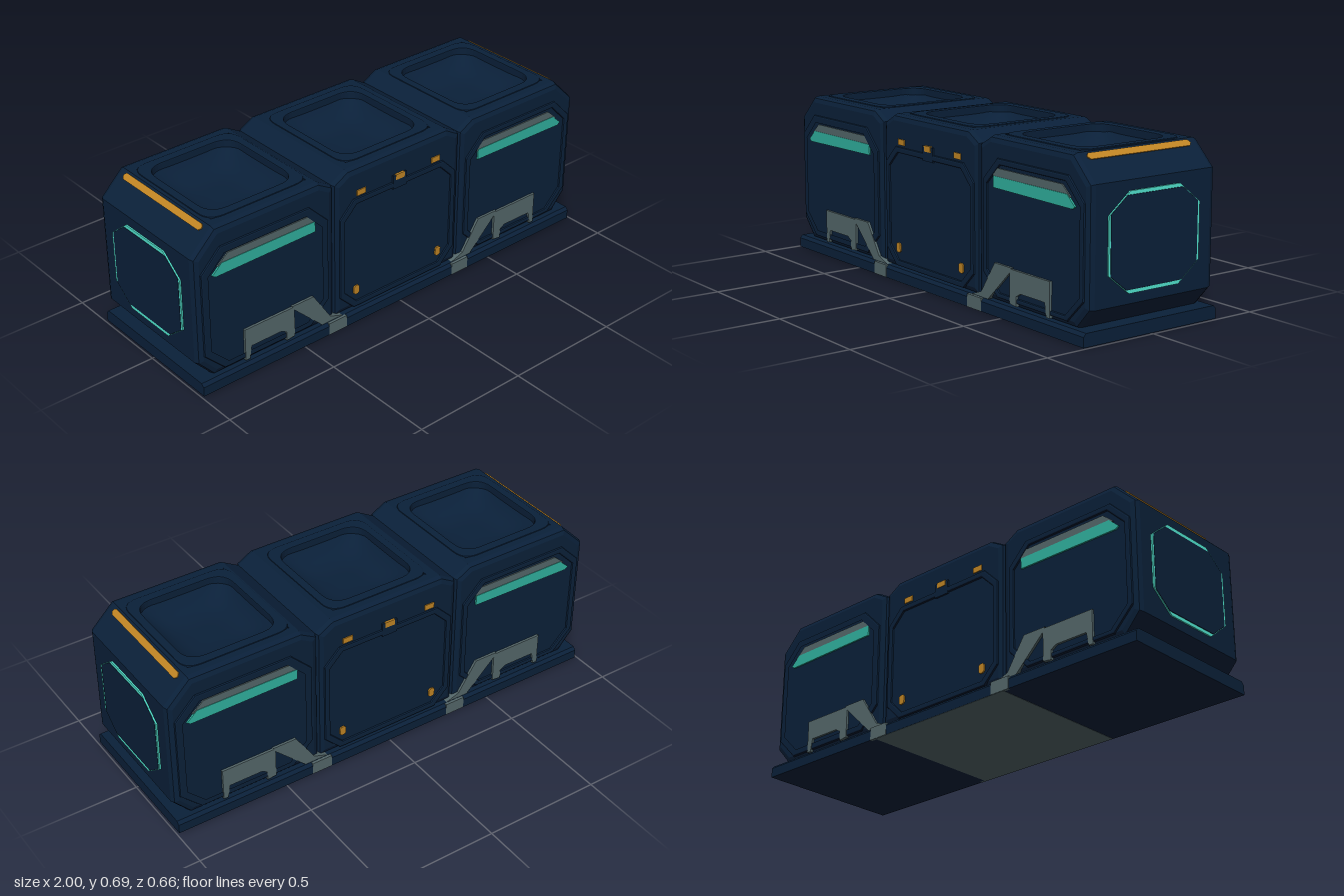
import * as THREE from 'three';

const mat = (name, color) => {
  const m = new THREE.MeshStandardMaterial({ color });
  m.name = name;
  return m;
};

const shapeOf = (pts) => new THREE.Shape(pts.map(([x, y]) => new THREE.Vector2(x, y)));

// Rectangle with cut corners, as points
const octagon = (x0, x1, y0, y1, cx, cy = cx) => [
  [x0 + cx, y0], [x1 - cx, y0], [x1, y0 + cy], [x1, y1 - cy],
  [x1 - cx, y1], [x0 + cx, y1], [x0, y1 - cy], [x0, y0 + cy],
];

// Extrudes a shape from z0 to z1, with an optional bevel kept inside the outline
function slab(shape, z0, z1, bevel = 0) {
  const g = new THREE.ExtrudeGeometry(shape, {
    depth: z1 - z0 - 2 * bevel, bevelEnabled: bevel > 0, bevelThickness: bevel,
    bevelSize: bevel, bevelOffset: -bevel, bevelSegments: 2, curveSegments: 8,
  });
  return g.translate(0, 0, z0 + bevel);
}

function ringShape(outer, inner) {
  const s = shapeOf(outer);
  s.holes.push(shapeOf(inner));
  return s;
}

function roundedRect(path, w, h, r) {
  path.moveTo(-w + r, -h);
  path.lineTo(w - r, -h).quadraticCurveTo(w, -h, w, -h + r);
  path.lineTo(w, h - r).quadraticCurveTo(w, h, w - r, h);
  path.lineTo(-w + r, h).quadraticCurveTo(-w, h, -w, h - r);
  path.lineTo(-w, -h + r).quadraticCurveTo(-w, -h, -w + r, -h);
  return path;
}

export function createModel() {
  const root = new THREE.Group();
  root.name = 'cargoContainer';
  const navy = mat('navy hull', 0x0a2039);
  const grey = mat('grey metal', 0x54676a);
  const teal = mat('bright teal trim', 0x56f0da);
  const deepTeal = mat('teal light strip', 0x30b29f);
  const amber = mat('amber marker', 0xc28624);

  const add = (parent, name, geometry, material) => {
    const m = new THREE.Mesh(geometry, material);
    m.name = name;
    parent.add(m);
    return m;
  };
  const box = (w, h, d, x, y, z) => new THREE.BoxGeometry(w, h, d).translate(x, y, z);

  // Base skid with chamfered upper edges
  const skid = shapeOf([[-0.327, 0], [0.327, 0], [0.327, 0.04], [0.315, 0.053], [-0.315, 0.053], [-0.327, 0.04]]);
  add(root, 'baseSkid', slab(skid, -0.99, 0.99).rotateY(Math.PI / 2), navy);
  add(root, 'undersidePlate', box(0.7, 0.004, 0.652, 0, 0.001, 0), grey);

  // Fillers in the grooves between modules
  for (const s of [-1, 1]) add(root, 'grooveFiller', box(0.16, 0.6, 0.56, s * 0.33, 0.35, 0), navy);

  // Three hull modules; s is the side, 0 being the middle one
  for (const s of [-1, 0, 1]) {
    const cx = s * 0.64;
    const k = s || 1;
    const mx = ([x, y]) => [x * k, y];
    const c = Math.abs(cx);
    const lower = s
      ? [[0.33, 0.65], [0.33, 0.05], [0.92, 0.05], [0.992, 0.13], [0.992, 0.59], [0.89, 0.69]]
      : [[-0.26, 0.69], [-0.33, 0.65], [-0.33, 0.05], [0.33, 0.05], [0.33, 0.65], [0.26, 0.69]];
    const close = s ? [[0.4, 0.69]] : [];
    const notch = [[c + 0.22, 0.69], [c + 0.22, 0.58], [c - 0.22, 0.58], [c - 0.22, 0.69]];
    const module = new THREE.Group();
    module.name = s ? (s > 0 ? 'leftModule' : 'rightModule') : 'middleModule';
    root.add(module);

    add(module, 'hullCentre', slab(shapeOf([...lower, ...notch, ...close].map(mx)), -0.26, 0.26), navy);
    const cheek = shapeOf([...lower, ...close].map(mx));
    add(module, 'frontCheek', slab(cheek, 0.22, 0.304, 0.025), navy);
    add(module, 'backCheek', slab(cheek, -0.304, -0.22, 0.025), navy);

    // Roof rim around a dished well
    const rim = roundedRect(new THREE.Shape(), 0.235, 0.25, 0.07);
    rim.holes.push(roundedRect(new THREE.Path(), 0.2, 0.21, 0.08));
    add(module, 'roofRim', slab(rim, 0.62, 0.694, 0.004).rotateX(-Math.PI / 2).translate(cx, 0, 0), navy);
    const dish = new THREE.PlaneGeometry(0.43, 0.45, 20, 20).rotateX(-Math.PI / 2);
    const p = dish.attributes.position;
    for (let i = 0; i < p.count; i++) {
      const u = p.getX(i) / 0.215, v = p.getZ(i) / 0.225;
      p.setY(i, 0.684 - 0.09 * (1 - u ** 4) * (1 - v ** 4));
    }
    dish.computeVertexNormals();
    add(module, 'roofDish', dish.translate(cx, 0, 0), navy);
  }

  // Long sides: the back repeats the front, turned half round
  for (const back of [0, 1]) {
    const side = new THREE.Group();
    side.name = back ? 'backSide' : 'frontSide';
    side.rotation.y = back * Math.PI;
    root.add(side);

    const midFrame = ringShape(octagon(-0.305, 0.305, 0.06, 0.56, 0.07), octagon(-0.28, 0.28, 0.085, 0.535, 0.06));
    add(side, 'middleFrame', slab(midFrame, 0.28, 0.312, 0.006), navy);
    add(side, 'latchHousing', box(0.07, 0.06, 0.012, 0, 0.56, 0.306), navy);

    // Amber markers
    for (const x of [-0.195, 0, 0.195])
      add(side, 'upperMarker', box(0.045, 0.024, 0.009, x, 0.581, x ? 0.304 : 0.31), amber);
    for (const x of [-0.22, 0.22])
      add(side, 'lowerMarker', slab(shapeOf(octagon(x - 0.014, x + 0.014, 0.118, 0.158, 0.007)), 0.302, 0.31), amber);

    for (const s of [-1, 1]) {
      const mirrored = (pts) => shapeOf(pts.map(([x, y]) => [x * s, y]));
      const outer = octagon(0.365, 0.965, 0.07, 0.61, 0.09).map(([x, y]) => [x * s, y]);
      const inner = octagon(0.39, 0.94, 0.09, 0.585, 0.08).map(([x, y]) => [x * s, y]);
      add(side, 'outerFrame', slab(ringShape(outer, inner), 0.28, 0.312, 0.006), navy);

      // Light strip under a grey hood
      add(side, 'stripHood', slab(mirrored([[0.43, 0.53], [0.89, 0.53], [0.84, 0.572], [0.43, 0.572]]), 0.301, 0.309), grey);
      add(side, 'lightStrip', slab(mirrored([[0.43, 0.495], [0.9, 0.49], [0.915, 0.5], [0.87, 0.54], [0.43, 0.54]]), 0.302, 0.311), deepTeal);

      // Step block with a cut-out, and its brace down to the skid
      add(side, 'stepBlock', slab(mirrored([
        [0.78, 0.2], [0.54, 0.2], [0.54, 0.065], [0.58, 0.06], [0.58, 0.1], [0.605, 0.115],
        [0.75, 0.115], [0.76, 0.06], [0.78, 0.06],
      ]), 0.3, 0.314), grey);
      add(side, 'brace', slab(mirrored([
        [0.55, 0.205], [0.445, 0.205], [0.36, 0.075], [0.29, 0.05], [0.4, 0.05], [0.54, 0.185],
      ]), 0.28, 0.314), grey);
      add(side, 'braceFoot', box(0.09, 0.053, 0.012, s * 0.332, 0.0265, 0.322), grey);
    }
  }

  // Ends, built facing +z and turned outwards
  for (const s of [-1, 1]) {
    const end = new THREE.Group();
    end.name = s > 0 ? 'leftEnd' : 'rightEnd';
    end.rotation.y = s * Math.PI / 2;
    root.add(end);
    // Trim is narrow on its diagonals
    const inner = octagon(-0.212, 0.212, 0.184, 0.536, 0.077, 0.061);
    const trim = ringShape(octagon(-0.221, 0.221, 0.17, 0.55, 0.1, 0.08), inner);
    add(end, 'endTrim', slab(trim, 0.988, 0.998), teal);
    add(end, 'endPanel', slab(shapeOf(inner), 0.98, 1.0, 0.003), navy);

    // Amber bar on the sloping shoulder
    const bar = slab(shapeOf(octagon(-0.25, 0.25, -0.014, 0.014, 0.01)), -0.004, 0.004);
    add(end, 'shoulderBar', bar.rotateX(-Math.PI / 4).translate(0, 0.674, 0.907), amber);
  }
  return root;
}
